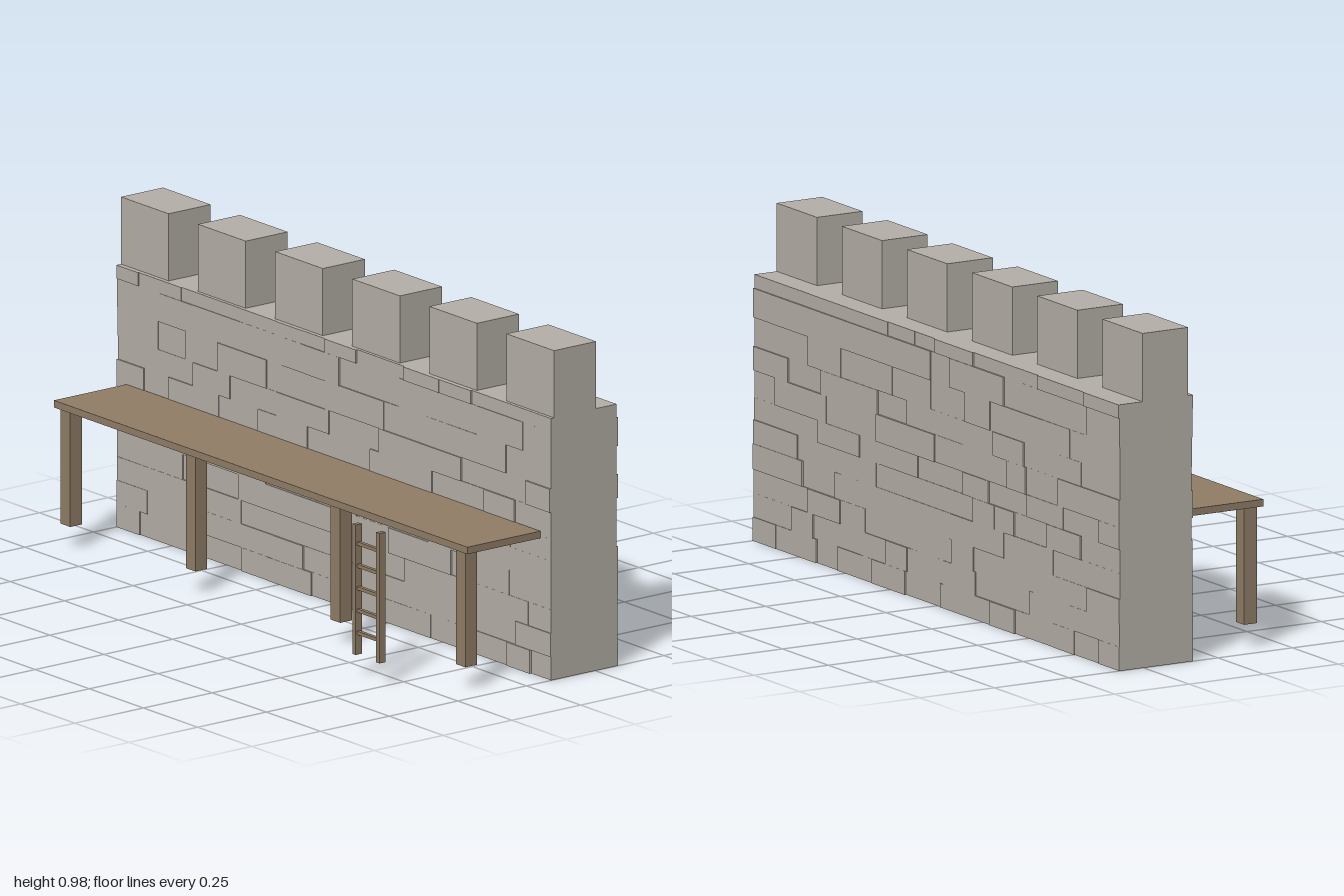
import * as THREE from 'three';

const stone = new THREE.MeshStandardMaterial({ color: 0xb5b0a8 });
stone.name = 'stone';
const wood = new THREE.MeshStandardMaterial({ color: 0x917e67 });
wood.name = 'wood';

// Box given by its lower and upper corner on each axis
function box(parent, name, material, [x0, x1], [y0, y1], [z0, z1]) {
  const mesh = new THREE.Mesh(new THREE.BoxGeometry(x1 - x0, y1 - y0, z1 - z0), material);
  mesh.position.set((x0 + x1) / 2, (y0 + y1) / 2, (z0 + z1) / 2);
  mesh.name = name;
  parent.add(mesh);
  return mesh;
}

function seeded(seed) {
  return () => (seed = (seed * 16807) % 2147483647) / 2147483647;
}

function group(parent, name) {
  const g = new THREE.Group();
  g.name = name;
  parent.add(g);
  return g;
}

// Uneven courses of stones laid on one face of the wall
function stoneFacing(parent, name, faceZ, side, seed) {
  const facing = group(parent, name);
  const random = seeded(seed);
  const courses = [0, 0.07, 0.14, 0.21, 0.285, 0.355, 0.42, 0.5, 0.57, 0.655, 0.74, 0.78];
  for (let row = 0; row < courses.length - 1; row++) {
    let x = -1;
    while (x < 1) {
      let end = x + 0.1 + 0.2 * random();
      if (end > 0.92) end = 1;
      const z = faceZ + side * (0.001 + 0.007 * random());
      box(facing, 'stoneBlock', stone, [x, end], [courses[row], courses[row + 1]],
        [Math.min(faceZ, z), Math.max(faceZ, z)]);
      x = end;
    }
  }
}

export function createModel() {
  const model = new THREE.Group();
  model.name = 'castleWall';

  // Wall core with stone courses front and back
  const wall = group(model, 'wall');
  box(wall, 'wallCore', stone, [-1, 1], [0, 0.78], [-0.326, -0.091]);
  stoneFacing(wall, 'frontStones', -0.091, 1, 4211);
  stoneFacing(wall, 'backStones', -0.326, -1, 9173);

  // Battlements
  for (let i = 0; i < 6; i++) {
    const x = -1 + i * 0.356;
    box(wall, 'merlon', stone, [x, x + 0.22], [0.78, 0.98], [-0.253, -0.1]);
  }

  // Wooden walkway on four posts
  const walkway = group(model, 'walkway');
  box(walkway, 'deck', wood, [-0.955, 0.955], [0.414, 0.435], [-0.086, 0.18]);
  for (const x of [-0.915, -0.337, 0.332, 0.91]) {
    box(walkway, 'post', wood, [x - 0.022, x + 0.022], [0.07, 0.414], [0.126, 0.169]);
  }

  // Ladder
  const ladder = group(model, 'ladder');
  for (const x of [0.631, 0.741]) {
    box(ladder, 'ladderRail', wood, [x - 0.008, x + 0.008], [0.07, 0.457], [0.315, 0.337]);
  }
  for (let i = 0; i < 5; i++) {
    const y = 0.135 + i * 0.0665;
    box(ladder, 'rung', wood, [0.635, 0.737], [y - 0.005, y + 0.005], [0.32, 0.332]);
  }
  return model;
}
